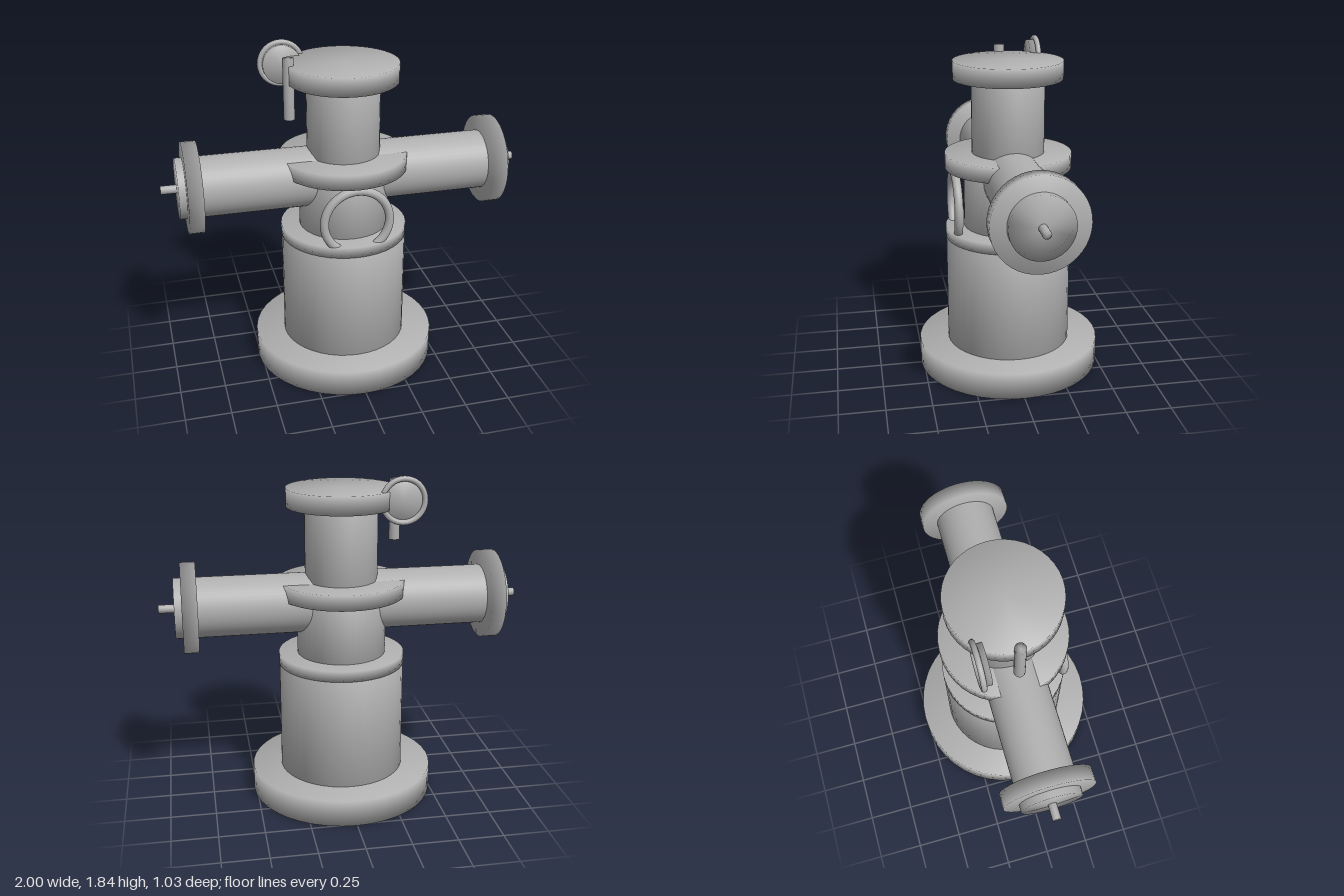
import * as THREE from 'three';
import { mergeVertices } from 'three/addons/utils/BufferGeometryUtils.js';

const metal = new THREE.MeshStandardMaterial({ color: 0xb0b0b0 });
metal.name = 'greyMetal';

// Welds caps to sides so the shading runs softly over the rims
function soften(geometry) {
  geometry.deleteAttribute('uv');
  geometry.deleteAttribute('normal');
  const welded = mergeVertices(geometry, 1e-4);
  welded.computeVertexNormals();
  return welded;
}

function part(name, geometry) {
  const mesh = new THREE.Mesh(geometry, metal);
  mesh.name = name;
  return mesh;
}

// Upright cylinder between two heights
function drum(name, radius, bottom, top, segments = 40) {
  const mesh = part(name, soften(new THREE.CylinderGeometry(radius, radius, top - bottom, segments)));
  mesh.position.y = (bottom + top) / 2;
  return mesh;
}

// Cylinder lying along x between two positions
function crossDrum(name, radius, from, to, y, segments = 40) {
  const mesh = part(name, soften(new THREE.CylinderGeometry(radius, radius, to - from, segments)));
  mesh.rotation.z = -Math.PI / 2;
  mesh.position.set((from + to) / 2, y, 0);
  return mesh;
}

export function createModel() {
  const model = new THREE.Group();
  model.name = 'pipeJunction';

  // Stacked upright column
  model.add(
    drum('base', 0.515, 0, 0.15),
    drum('body', 0.35, 0.15, 0.8),
    drum('bodyRim', 0.352, 0.775, 0.835),
    drum('column', 0.247, 0.8, 1.2),
    drum('collar', 0.35, 1.17, 1.255),
    drum('neck', 0.2, 1.2, 1.68),
    drum('topFlange', 0.3, 1.66, 1.76),
  );

  // Cross pipe with a flange and spindle at each end
  const pipeY = 1.128;
  model.add(crossDrum('crossPipe', 0.165, -0.915, 0.915, pipeY));
  for (const [side, s] of [['left', 1], ['right', -1]]) {
    const flange = crossDrum(side + 'Flange', 0.248, 0.793, 0.875, pipeY);
    const spindle = crossDrum(side + 'Spindle', 0.023, 0.88, 1, pipeY, 16);
    flange.position.x *= s;
    spindle.position.x *= s;
    model.add(flange, spindle);
  }

  // Ring handle standing on the front of the body
  const handle = part('frontRing', new THREE.TorusGeometry(0.18, 0.024, 16, 48));
  handle.position.set(0, 0.963, 0.3);
  model.add(handle);

  // Vertical pin through the edge of the top flange
  const pin = drum('pin', 0.03, 1.465, 1.797, 20);
  pin.position.x = -0.295;
  model.add(pin);

  // Gauge with a rim behind the pin
  const gauge = new THREE.Group();
  gauge.name = 'gauge';
  const dial = part('gaugeDial', soften(new THREE.CylinderGeometry(0.105, 0.105, 0.04, 32)));
  dial.rotation.x = Math.PI / 2;
  dial.position.z = 0.025;
  gauge.add(dial, part('gaugeRim', new THREE.TorusGeometry(0.115, 0.015, 12, 36)));
  gauge.position.set(-0.295, 1.713, -0.208);
  model.add(gauge);

  return model;
}
